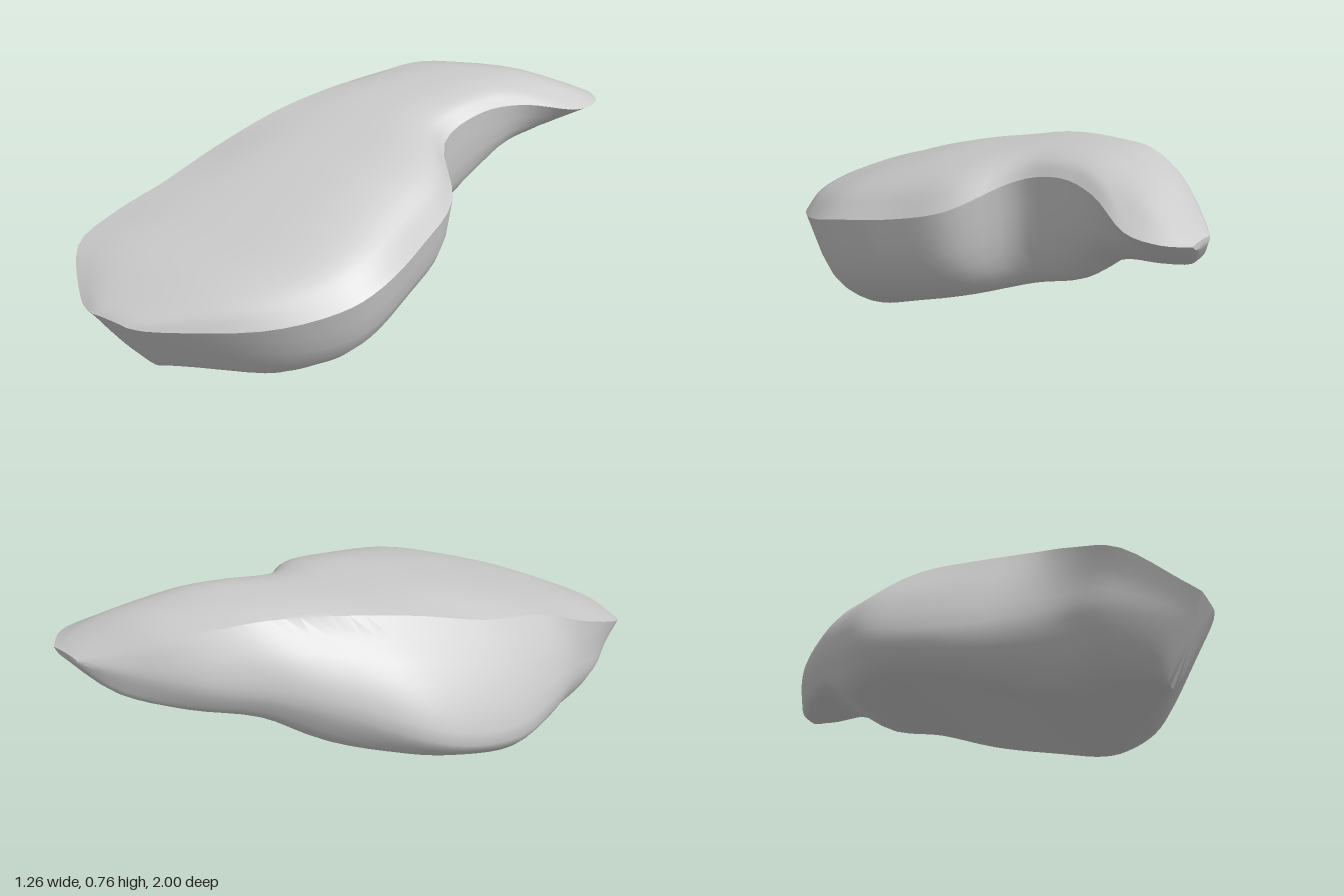
import * as THREE from 'three';
import { toCreasedNormals } from 'three/addons/utils/BufferGeometryUtils.js';

// Stations, front to tail: z, top y, bottom y, left rim x and y,
// left flank x and y, right rim x and y, sole left x, sole right x
const STATIONS = [
  [1.0, .333, .062, -.36, .33, -.33, .22, -.21, .33, -.28, -.20],
  [.96, .365, .055, -.45, .335, -.43, .22, -.10, .33, -.36, -.13],
  [.80, .45, .032, -.595, .42, -.56, .23, .21, .36, -.42, .13],
  [.62, .515, .004, -.565, .48, -.575, .22, .40, .40, -.43, .21],
  [.45, .575, .02, -.48, .545, -.60, .20, .475, .44, -.46, .26],
  [.20, .65, .085, -.42, .60, -.63, .20, .485, .48, -.54, .30],
  [-.03, .695, .16, -.32, .67, -.60, .25, .47, .54, -.52, .33],
  [-.22, .73, .21, -.22, .71, -.52, .33, .325, .64, -.43, .24],
  [-.42, .755, .27, -.10, .735, -.33, .44, .365, .69, -.25, .26],
  [-.60, .757, .39, .0, .74, -.145, .51, .46, .675, -.09, .30],
  [-.78, .72, .425, .14, .69, .04, .54, .60, .615, .09, .34],
  [-.92, .645, .47, .31, .625, .26, .565, .625, .60, .28, .40],
  [-1.0, .595, .57, .43, .592, .42, .585, .56, .59, .43, .53],
];
const STEPS = 4, UPPER = 18, LOWER = 26;
const { lerp, smoothstep, clamp } = THREE.MathUtils;

// Smooth blend of the station rows
function stationAt(t) {
  const last = STATIONS.length - 1;
  const i = Math.min(Math.floor(t), last - 1), f = t - i;
  const row = k => STATIONS[clamp(k, 0, last)];
  return row(i).map((p1, c) => {
    const p0 = row(i - 1)[c], p2 = row(i + 1)[c], p3 = row(i + 2)[c];
    const m1 = (p2 - p0) / 2, m2 = (p3 - p1) / 2;
    const a = 2 * (p1 - p2) + m1 + m2, b = 3 * (p2 - p1) - 2 * m1 - m2;
    return ((a * f + b) * f + m1) * f + p1;
  });
}

// One cross-section: a gently domed top and a tapering underside that meet at the rim
function section([z, top, low, rx, ry, fx, fy, xr, yr, bl, br]) {
  const w = xr - rx, v = (x, y) => new THREE.Vector3(x, y, 0);
  // Towards the tail the right edge thins to a fin
  const fin = smoothstep(-z, .5, .8);
  const upper = new THREE.CatmullRomCurve3([
    v(xr, yr),
    v(xr - .1 * w, lerp(yr, top, lerp(.6, .28, fin))),
    v(xr - .28 * w, lerp(yr, top, lerp(.93, .75, fin))),
    v(lerp(rx, xr, .45), top),
    v(rx + .2 * w, lerp(ry, top, .75)),
    v(rx, ry),
  ]).getPoints(UPPER);
  const under = new THREE.CatmullRomCurve3([
    v(rx, ry), v(lerp(rx, fx, .7), lerp(ry, fy, .5)), v(fx, fy),
    v(lerp(fx, bl, .45), lerp(fy, low, .6)), v(bl, low + .1 * (fy - low)),
    v(lerp(bl, br, .2), low), v(lerp(bl, br, .8), low),
    v(br, low + .1 * (yr - low)),
    v(lerp(xr, br, lerp(.29, .58, fin)), lerp(yr, low, .6)), v(xr, yr),
  ]).getPoints(LOWER);
  const ring = [...upper.slice(0, -1), ...under.slice(0, -1)];
  // The front wall leans back below the rim
  const lean = .16 * smoothstep(z, .2, .95);
  for (const p of ring) {
    const rim = lerp(ry, yr, clamp((p.x - rx) / w, 0, 1));
    p.z = z - lean * clamp((rim - p.y) / (rim - low), 0, 1);
  }
  return ring;
}

function loft(rings) {
  const n = rings[0].length, pos = [], index = [];
  rings.forEach(r => r.forEach(p => pos.push(p.x, p.y, p.z)));
  for (let i = 0; i < rings.length - 1; i++) {
    for (let j = 0; j < n; j++) {
      const k = (j + 1) % n, a = i * n + j, b = i * n + k;
      index.push(a, a + n, b, b, a + n, b + n);
    }
  }
  // Close both ends
  const addCap = (ring, start, flip) => {
    const c = ring.reduce((s, p) => s.add(p), new THREE.Vector3()).divideScalar(n);
    const centre = pos.length / 3;
    pos.push(c.x, c.y, c.z);
    for (let j = 0; j < n; j++) {
      const a = start + j, b = start + (j + 1) % n;
      index.push(centre, flip ? b : a, flip ? a : b);
    }
  };
  addCap(rings[0], 0, false);
  addCap(rings.at(-1), (rings.length - 1) * n, true);
  const geo = new THREE.BufferGeometry();
  geo.setAttribute('position', new THREE.Float32BufferAttribute(pos, 3));
  geo.setIndex(index);
  return toCreasedNormals(geo, .6);
}

export function createModel() {
  const group = new THREE.Group();
  const rings = [];
  const count = (STATIONS.length - 1) * STEPS;
  for (let i = 0; i <= count; i++) rings.push(section(stationAt(i / STEPS)));

  const body = new THREE.Mesh(
    loft(rings),
    new THREE.MeshStandardMaterial({ color: 0xcccccc, side: THREE.DoubleSide }),
  );
  body.name = 'curvedBodyWithTail';
  group.add(body);
  return group;
}
